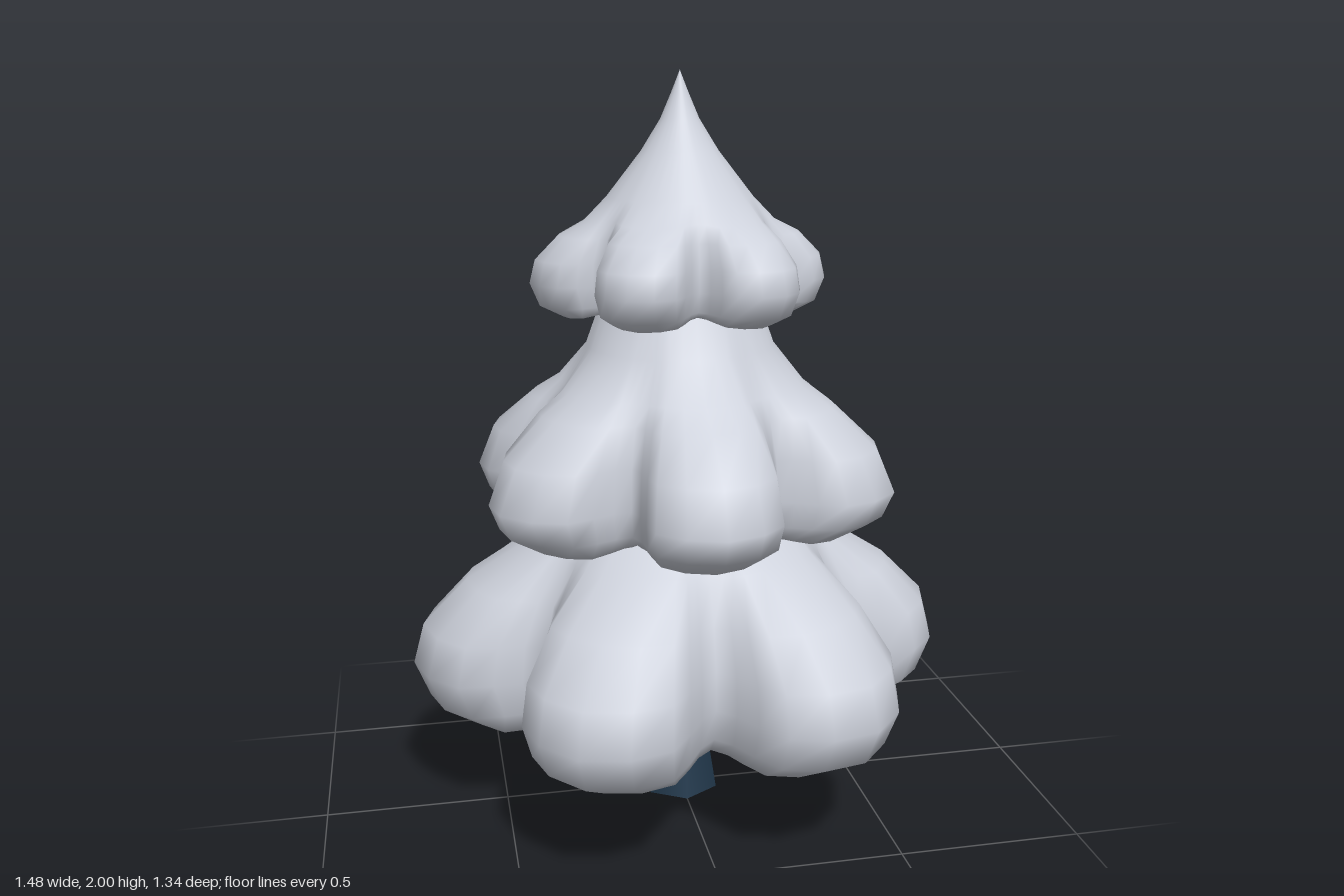
import * as THREE from 'three';

// Half-lobe outline: [degrees from lobe centre, blend from valley (0) to tip (1)]
const LOBE = [[-30, 0], [-25, 0.15], [-21.5, 0.4], [-17.5, 0.7], [-9.5, 0.9],
  [0, 1], [9.5, 0.9], [17.5, 0.7], [21.5, 0.4], [25, 0.15]];

// Rings run from the underside, around the lobes, up to the top.
// Each ring: [tipRadius, tipY, valleyRadius, valleyY]; a short ring is round.
function tierGeometry(rings, turn) {
  const position = [], index = [];
  const n = LOBE.length * 6;
  for (const [tr, ty, vr = tr, vy = ty] of rings) {
    for (let k = 0; k < 6; k++) {
      for (const [deg, w] of LOBE) {
        const a = THREE.MathUtils.degToRad(k * 60 + deg + turn);
        const r = vr + (tr - vr) * w;
        position.push(r * Math.cos(a), vy + (ty - vy) * w, r * Math.sin(a));
      }
    }
  }
  for (let i = 0; i < rings.length - 1; i++) {
    for (let j = 0; j < n; j++) {
      const a = i * n + j, b = i * n + (j + 1) % n;
      index.push(a, a + n, b, b, a + n, b + n);
    }
  }
  const g = new THREE.BufferGeometry();
  g.setAttribute('position', new THREE.Float32BufferAttribute(position, 3));
  g.setIndex(index);
  g.computeVertexNormals();
  return g;
}

export function createModel() {
  const group = new THREE.Group();
  group.name = 'snowyTree';
  const snow = new THREE.MeshStandardMaterial({ color: 0xcdd1db });
  snow.name = 'snow';
  const bark = new THREE.MeshStandardMaterial({ color: 0x22394d });
  bark.name = 'darkBark';

  const add = (name, geometry, material) => {
    const mesh = new THREE.Mesh(geometry, material);
    mesh.name = name;
    group.add(mesh);
  };

  // Six-sided tapered trunk
  const trunk = new THREE.CylinderGeometry(0.065, 0.11, 0.27, 6);
  trunk.translate(0, 0.135, 0);
  add('trunk', trunk, bark);

  // Lower branches, with the pale stem and hollow underneath
  add('lowerBranches', tierGeometry([
    [0.06, 0.268], [0.058, 0.35], [0.1, 0.5], [0.25, 0.44, 0.22, 0.46],
    [0.38, 0.32, 0.35, 0.35], [0.59, 0.275, 0.41, 0.31], [0.70, 0.34, 0.45, 0.36],
    [0.74, 0.44, 0.47, 0.45], [0.71, 0.55, 0.465, 0.55], [0.59, 0.67, 0.435, 0.66],
    [0.41, 0.78, 0.385, 0.77], [0.33, 0.84], [0.22, 0.93],
  ], 0), snow);

  // Middle branches, turned by half a lobe
  add('middleBranches', tierGeometry([
    [0.2, 0.93], [0.34, 0.845, 0.3, 0.855], [0.46, 0.81, 0.33, 0.835],
    [0.56, 0.87, 0.365, 0.87], [0.59, 0.94, 0.375, 0.94], [0.54, 1.05, 0.37, 1.05],
    [0.42, 1.15, 0.345, 1.15], [0.34, 1.2, 0.31, 1.2], [0.25, 1.3], [0.21, 1.41],
    [0.15, 1.5],
  ], 30), snow);

  // Top branches and pointed tip
  add('topBranches', tierGeometry([
    [0.12, 1.5], [0.23, 1.4, 0.2, 1.42], [0.31, 1.38, 0.225, 1.405],
    [0.37, 1.41, 0.24, 1.42], [0.395, 1.47, 0.25, 1.47], [0.38, 1.53, 0.25, 1.53],
    [0.32, 1.59, 0.24, 1.59], [0.25, 1.625, 0.225, 1.635], [0.19, 1.685],
    [0.1, 1.8], [0.05, 1.88], [0.022, 1.945], [0, 2],
  ], 0), snow);

  return group;
}
